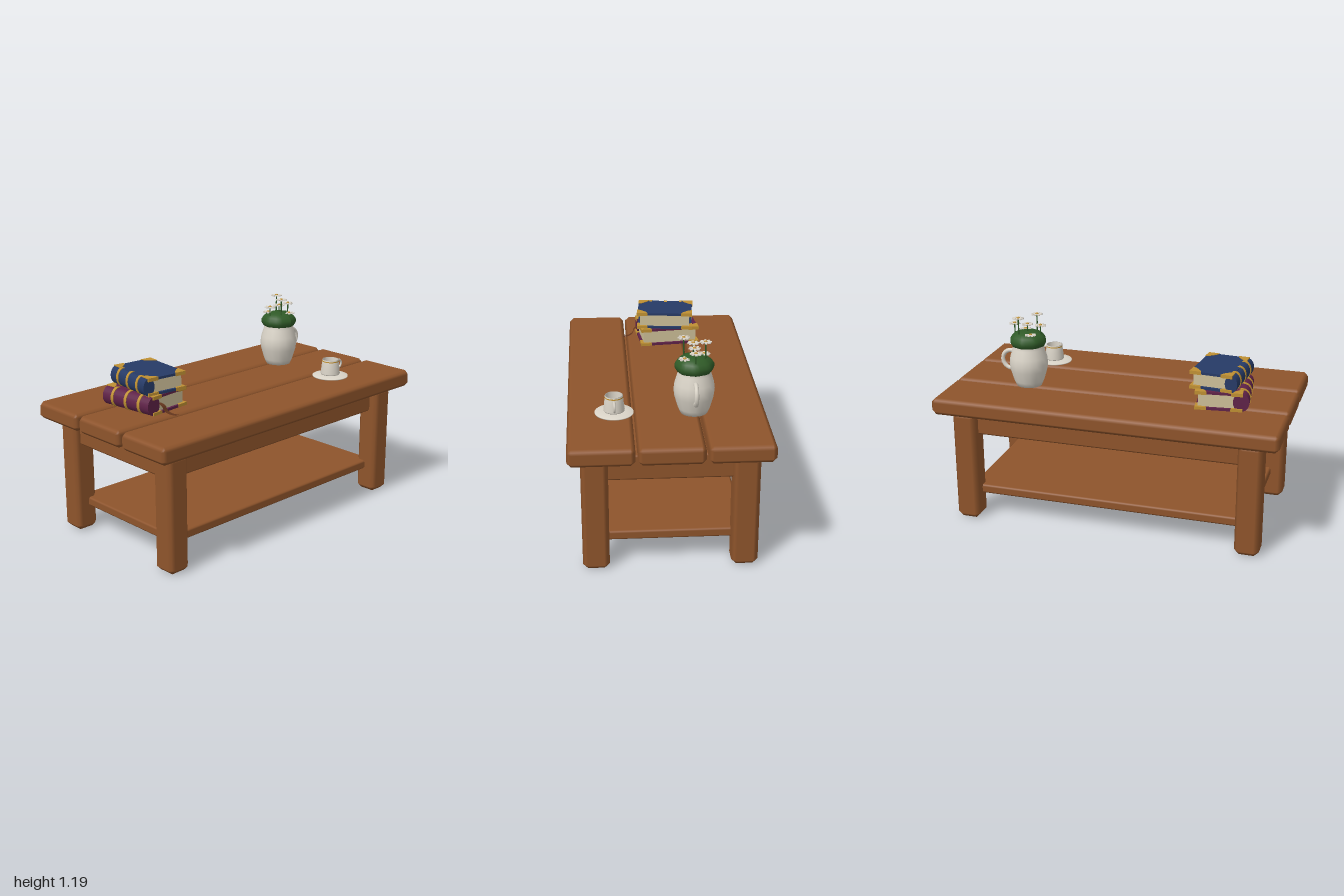
import * as THREE from 'three';
import { RoundedBoxGeometry } from 'three/addons/geometries/RoundedBoxGeometry.js';

const mat = (name, color, side = THREE.FrontSide) => {
  const m = new THREE.MeshStandardMaterial({ color, side });
  m.name = name;
  return m;
};

export function createModel() {
  const root = new THREE.Group();
  root.name = 'coffeeTable';
  const wood = mat('wood', 0x8e542b);
  const china = mat('china', 0xdad4c8, THREE.DoubleSide);
  const paper = mat('paper', 0xcdbf98);
  const gold = mat('gold', 0xbf9033);
  const blue = mat('blueLeather', 0x263a66);
  const plum = mat('plumLeather', 0x5f2248);
  const green = mat('leafGreen', 0x2f5a27);
  const ribbonBrown = mat('ribbonBrown', 0x63351c, THREE.DoubleSide);

  const add = (parent, name, geo, m, x = 0, y = 0, z = 0) => {
    const mesh = new THREE.Mesh(geo, m);
    mesh.name = name;
    mesh.position.set(x, y, z);
    parent.add(mesh);
    return mesh;
  };
  const group = (name, x, y, z, turn = 0) => {
    const g = new THREE.Group();
    g.name = name;
    g.position.set(x, y, z);
    g.rotation.y = turn;
    root.add(g);
    return g;
  };
  const lathe = (pts, sides) =>
    new THREE.LatheGeometry(pts.map(([r, y]) => new THREE.Vector2(r, y)), sides);

  // Box with 45 degree chamfers and softly blended normals
  const chamferBox = (w, h, d, c) => {
    const geo = new RoundedBoxGeometry(w, h, d, 1, c);
    const p = geo.attributes.position, n = geo.attributes.normal;
    for (let i = 0; i < p.count; i++) {
      const v = new THREE.Vector3().fromBufferAttribute(p, i);
      const d3 = new THREE.Vector3().fromBufferAttribute(n, i);
      v.addScaledVector(d3, c / (Math.abs(d3.x) + Math.abs(d3.y) + Math.abs(d3.z)) - c);
      p.setXYZ(i, v.x, v.y, v.z);
    }
    return geo;
  };

  // Table
  for (const z of [-0.365, 0, 0.365])
    add(root, 'topPlank', chamferBox(2, 0.1, 0.352, 0.024), wood, 0, 0.716, z);
  for (const x of [-0.835, 0.835])
    for (const z of [-0.402, 0.402])
      add(root, 'leg', chamferBox(0.14, 0.665, 0.145, 0.028), wood, x, 0.3325, z);
  add(root, 'apron', chamferBox(1.74, 0.145, 0.84, 0.012), wood, 0, 0.5975, 0);
  add(root, 'shelf', chamferBox(1.66, 0.055, 0.8, 0.012), wood, 0, 0.168, 0);

  // Books: covers, pages, round spine with bands, metal corners
  const book = (name, leather, x, y, z, turn, W, L, H, spineR) => {
    const g = group(name, x, y, z, turn);
    const t = 0.014;
    add(g, 'pages', new THREE.BoxGeometry(W - 0.02, H - 2 * t, L - 0.03), paper, -0.004, H / 2, 0);
    for (const cy of [t / 2, H - t / 2]) {
      add(g, 'cover', new THREE.BoxGeometry(W, t, L), leather, 0, cy, 0);
      for (const sx of [-1, 1])
        for (const sz of [-1, 1]) {
          const cx = sx * (W / 2 + 0.003), cz = sz * (L / 2 + 0.003), s = 0.066;
          const shape = new THREE.Shape([
            [cx, cz], [cx - sx * s, cz], [cx - sx * s * 0.85, cz - sz * s * 0.35],
            [cx - sx * s * 0.35, cz - sz * s * 0.85], [cx, cz - sz * s],
          ].map(([a, b]) => new THREE.Vector2(a, b)));
          const geo = new THREE.ExtrudeGeometry(shape, { depth: t + 0.006, bevelEnabled: false });
          geo.rotateX(-Math.PI / 2);
          add(g, 'coverCorner', geo, gold, 0, cy - t / 2 - 0.003, 0);
        }
    }
    const roll = (r, len) => new THREE.CylinderGeometry(r, r, len, 20).rotateX(Math.PI / 2);
    const sx = spineR / (H / 2);
    add(g, 'spine', roll(H / 2, L - 0.01), leather, -W / 2 + 0.005, H / 2, 0).scale.x = sx;
    for (const k of [-0.28, 0, 0.28])
      add(g, 'spineBand', roll(H / 2 + 0.004, 0.018), gold, -W / 2 + 0.005, H / 2, k * L).scale.x = sx;
  };
  book('lowerBook', plum, -0.59, 0.766, -0.075, 0.11, 0.26, 0.355, 0.106, 0.046);
  book('upperBook', blue, -0.575, 0.872, -0.064, -0.1, 0.24, 0.335, 0.1, 0.036);

  // Bookmark hanging from the lower book
  const path = new THREE.CatmullRomCurve3([
    [-0.645, 0.825, 0.08], [-0.64, 0.815, 0.125], [-0.632, 0.785, 0.14], [-0.62, 0.772, 0.165], [-0.608, 0.77, 0.2],
  ].map((p) => new THREE.Vector3(...p)));
  const strip = new THREE.PlaneGeometry(1, 1, 1, 12);
  const sp = strip.attributes.position;
  for (let i = 0; i < sp.count; i++) {
    const q = path.getPoint(sp.getY(i) + 0.5);
    sp.setXYZ(i, q.x + sp.getX(i) * 0.026, q.y, q.z);
  }
  strip.computeVertexNormals();
  add(root, 'bookmark', strip, ribbonBrown);

  // Jug
  const jug = group('jug', 0.545, 0.766, -0.147);
  add(jug, 'jugBody', lathe([[0, 0], [0.075, 0], [0.088, 0.03], [0.107, 0.095], [0.112, 0.135],
    [0.107, 0.175], [0.092, 0.225], [0.086, 0.25], [0.09, 0.275]], 16), china);
  const handle = add(jug, 'jugHandle', new THREE.TorusGeometry(0.054, 0.0125, 8, 24), china, 0.108, 0.144, 0);
  handle.scale.set(1, 1.03, 1);

  // Bushy foliage, gently lobed around the rim
  const bush = lathe([[0.075, 0.24], [0.094, 0.243], [0.104, 0.262], [0.104, 0.282], [0.092, 0.3],
    [0.07, 0.318], [0.04, 0.325], [0, 0.327]], 32);
  const bp = bush.attributes.position;
  for (let i = 0; i < bp.count; i++) {
    const k = 1 + 0.025 * Math.cos(8 * Math.atan2(bp.getX(i), bp.getZ(i)));
    bp.setXYZ(i, bp.getX(i) * k, bp.getY(i), bp.getZ(i) * k);
  }
  bush.computeVertexNormals();
  add(jug, 'foliage', bush, green);

  // Flowers: stem, ring of petals, golden centre
  const outline = [];
  for (let i = 0; i < 48; i++) {
    const a = (i / 48) * Math.PI * 2;
    const r = 0.015 + 0.019 * Math.sqrt(Math.abs(Math.cos(4 * a)));
    outline.push(new THREE.Vector2(r * Math.cos(a), r * Math.sin(a)));
  }
  const petals = new THREE.ExtrudeGeometry(new THREE.Shape(outline), { depth: 0.005, bevelEnabled: false });
  petals.rotateX(-Math.PI / 2);
  const flowers = [
    [-0.037, 0.412, 0.055], [0.035, 0.412, -0.055], [-0.037, 0.318, -0.055], [0.035, 0.318, 0.055],
    [-0.078, 0.364, 0], [0.08, 0.364, 0], [0.002, 0.364, 0],
  ];
  for (const [x, y, z] of flowers) {
    const h = y - 0.27;
    add(jug, 'stem', new THREE.CylinderGeometry(0.004, 0.004, h, 6), green, x, 0.27 + h / 2, z);
    add(jug, 'petals', petals, china, x, y, z);
    add(jug, 'flowerCentre', new THREE.SphereGeometry(0.01, 10, 6).scale(1, 0.6, 1), gold, x, y + 0.005, z);
  }

  // Cup and saucer
  const cup = group('cupAndSaucer', 0.545, 0.766, 0.286);
  add(cup, 'saucer', lathe([[0, 0], [0.07, 0], [0.106, 0.005], [0.106, 0.01], [0.066, 0.018], [0, 0.018]], 32), china);
  add(cup, 'cup', lathe([[0, 0.018], [0.056, 0.018], [0.058, 0.024], [0.053, 0.065], [0.049, 0.108],
    [0.045, 0.108], [0.047, 0.06], [0.042, 0.03], [0, 0.03]], 28), china);
  add(cup, 'cupBand', lathe([[0.0506, 0.096], [0.05, 0.102]], 28), gold);
  const loop = add(cup, 'cupHandle', new THREE.TorusGeometry(0.026, 0.006, 8, 20), china, 0.068, 0.066, 0);
  loop.scale.set(1.1, 1, 1);

  return root;
}
